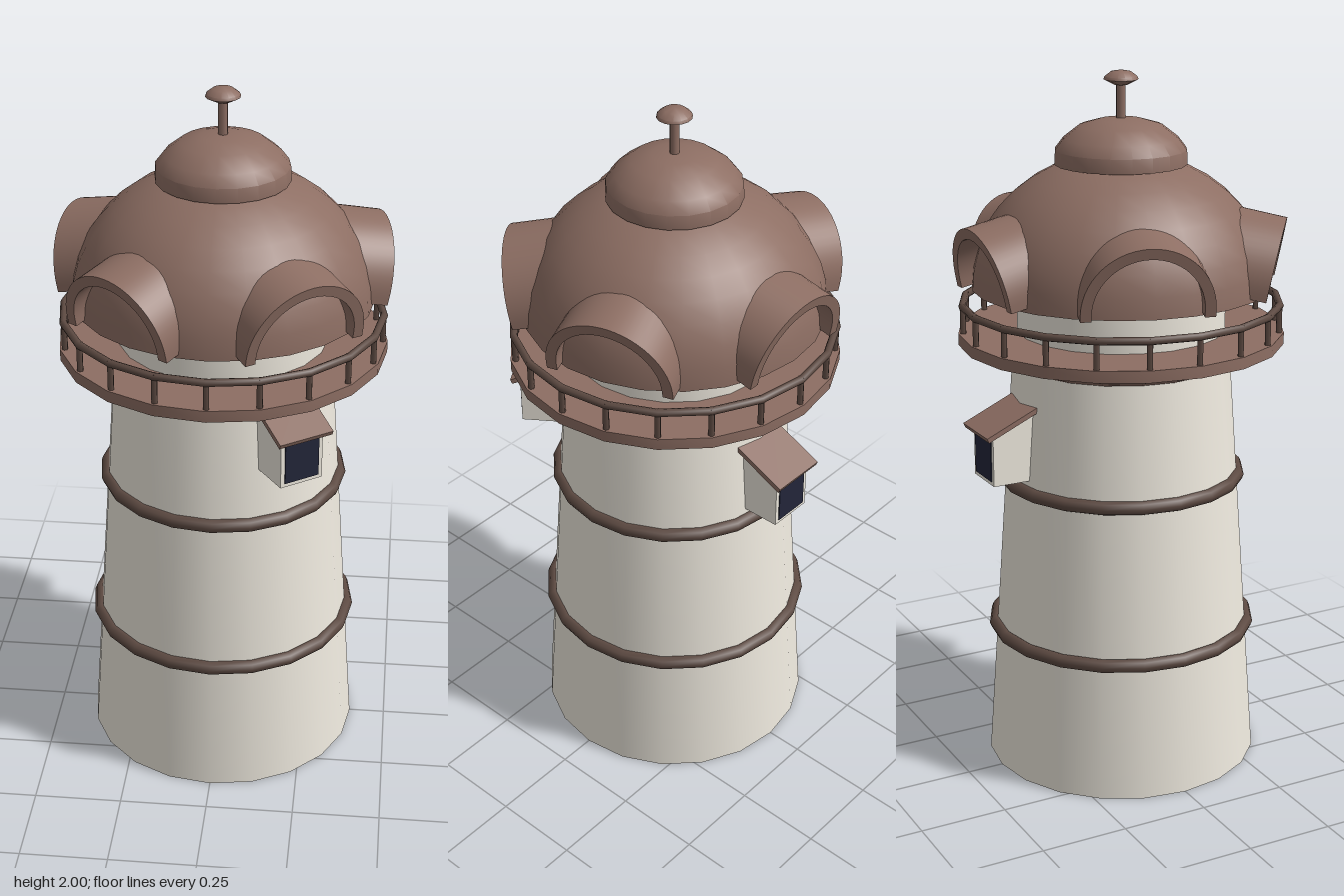
import * as THREE from 'three';
import { toCreasedNormals } from 'three/addons/utils/BufferGeometryUtils.js';

const SIDES = 20;
const mat = (color) => new THREE.MeshStandardMaterial({ color, side: THREE.DoubleSide });

export function createModel() {
  const root = new THREE.Group();
  const cream = mat(0xf0ebe0), brown = mat(0x8d6e63), dark = mat(0x5d4a42), glass = mat(0x23263a);

  const add = (name, geometry, material, parent = root) => {
    const mesh = new THREE.Mesh(geometry, material);
    mesh.name = name;
    parent.add(mesh);
    return mesh;
  };
  // Turned part from [radius, height] pairs, listed from bottom to top
  const turned = (name, points, material, sides = SIDES) =>
    add(name, toCreasedNormals(new THREE.LatheGeometry(points.map(([r, y]) => new THREE.Vector2(r, y)), sides), 0.6), material);
  // Horizontal ring around the axis
  const ring = (name, radius, tube, y, material) => {
    const g = new THREE.TorusGeometry(radius, tube, 8, SIDES);
    g.rotateX(Math.PI / 2).rotateY(Math.PI / 2);
    add(name, g, material).position.y = y;
  };

  // Tapered tower with two bands
  turned('tower', [[0, 0], [0.395, 0], [0.31, 1.21], [0, 1.21]], cream);
  ring('lowerBand', 0.37, 0.02, 0.4, dark);
  ring('upperBand', 0.336, 0.02, 0.855, dark);

  // Gallery deck and railing
  turned('galleryDeck', [[0, 1.195], [0.31, 1.195], [0.36, 1.215], [0.44, 1.243], [0.46, 1.247], [0.46, 1.28], [0, 1.28]], brown);
  ring('handRail', 0.447, 0.011, 1.357, dark);
  const postGeometry = new THREE.CylinderGeometry(0.009, 0.009, 0.09, 6);
  for (let i = 0; i < SIDES; i++) {
    const a = (i / SIDES) * Math.PI * 2;
    add('railPost', postGeometry, dark).position.set(0.446 * Math.sin(a), 1.32, 0.446 * Math.cos(a));
  }

  // Lantern room under the dome
  turned('lanternRoom', [[0.295, 1.27], [0.295, 1.42]], cream);

  // Dome, closed underneath
  const dome = [[0, 1.405], [0.42, 1.405]];
  for (let i = 1; i <= 10; i++) {
    const t = (i / 10) * Math.PI / 2;
    dome.push([i === 10 ? 0 : 0.42 * Math.cos(t), 1.405 + 0.37 * Math.sin(t)]);
  }
  turned('dome', dome, brown, 24);

  // Cap, pole and finial
  turned('domeCap', [[0, 1.745], [0.185, 1.745], [0.183, 1.785], [0.16, 1.815], [0.115, 1.85], [0.06, 1.866], [0, 1.871]], brown);
  add('finialPole', new THREE.CylinderGeometry(0.013, 0.013, 0.11, 10), brown).position.y = 1.915;
  turned('finial', [[0, 1.957], [0.02, 1.96], [0.048, 1.974], [0.045, 1.982], [0.028, 1.995], [0, 2]], brown, 14);

  // Five arched hoods, leaning outwards at the top
  const arch = new THREE.Shape();
  arch.moveTo(0.18, 0).lineTo(0.18, 0.02).absarc(0, 0.02, 0.18, 0, Math.PI, false);
  arch.lineTo(-0.18, 0).lineTo(-0.15, 0).lineTo(-0.15, 0.02);
  arch.absarc(0, 0.02, 0.15, Math.PI, 0, true).lineTo(0.15, 0);
  const archGeometry = toCreasedNormals(
    new THREE.ExtrudeGeometry(arch, { depth: 0.15, bevelEnabled: false, curveSegments: 14 }).translate(0, 0, -0.15), 0.6);
  for (let i = 0; i < 5; i++) {
    const pivot = new THREE.Group();
    pivot.name = 'archedHood';
    pivot.rotation.y = (36 + 72 * i) * Math.PI / 180;
    root.add(pivot);
    const hood = add('hoodArch', archGeometry, brown, pivot);
    hood.position.set(0, 1.407, 0.42);
    hood.rotation.x = 0.2;
  }

  // Projecting windows: side profile (depth, height) extruded across the width
  const profile = new THREE.Shape([[0.28, 0], [0.43, 0], [0.43, 0.138], [0.28, 0.205]].map(([z, y]) => new THREE.Vector2(z, y)));
  const bodyGeometry = new THREE.ExtrudeGeometry(profile, { depth: 0.13, bevelEnabled: false })
    .translate(0, 0, -0.065).rotateY(-Math.PI / 2);
  const bayWindow = (angle, y) => {
    const bay = new THREE.Group();
    bay.name = 'bayWindow';
    bay.rotation.y = angle;
    bay.position.y = y;
    root.add(bay);
    add('bayBody', bodyGeometry, cream, bay);
    add('bayPane', new THREE.BoxGeometry(0.105, 0.115, 0.01), glass, bay).position.set(0, 0.069, 0.428);
    const roof = add('bayRoof', new THREE.BoxGeometry(0.165, 0.014, 0.18), brown, bay);
    roof.position.set(0, 0.178, 0.37);
    roof.rotation.x = 0.42;
  };
  bayWindow(35 * Math.PI / 180, 1.018);
  bayWindow(Math.PI, 0.89);

  return root;
}
